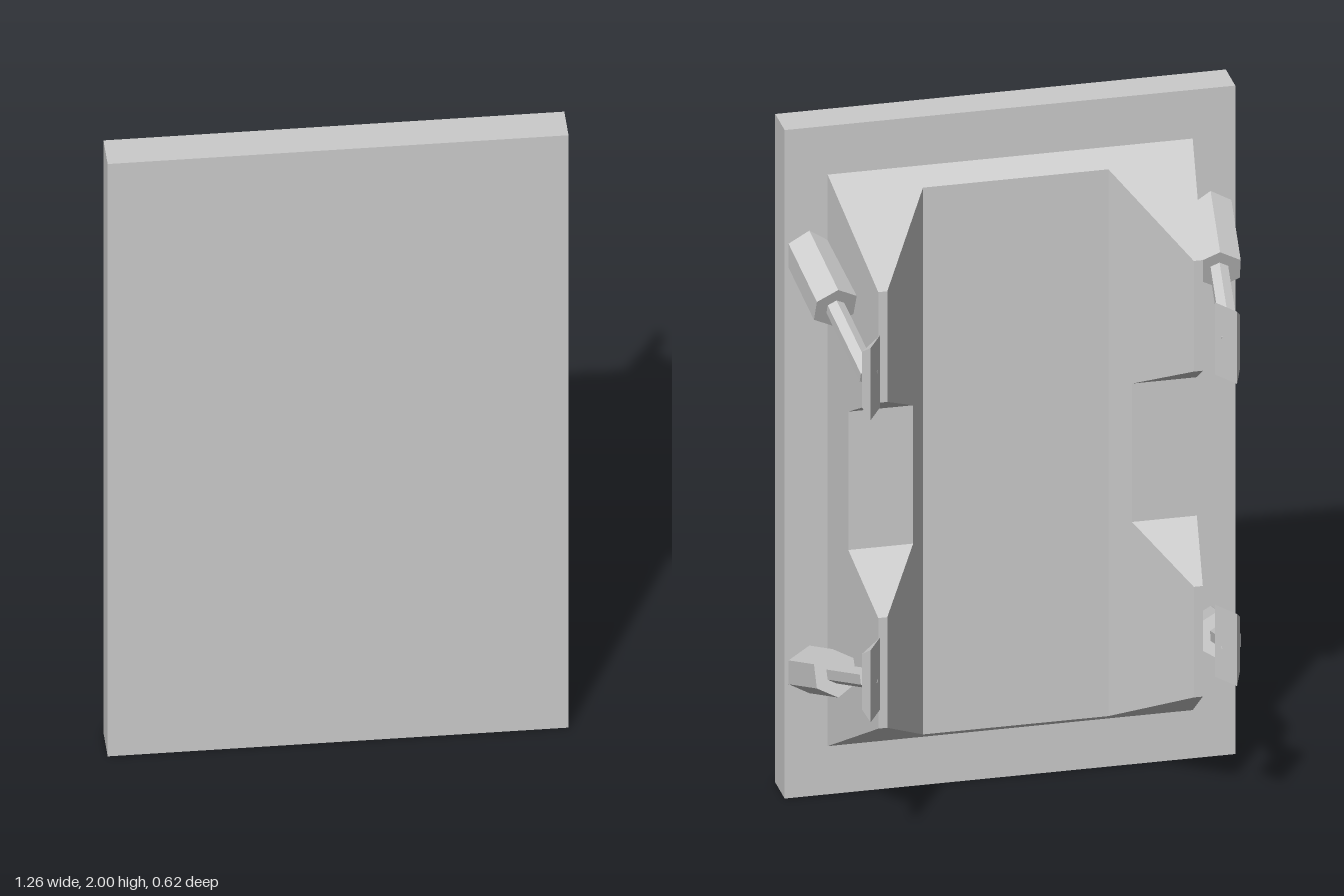
import * as THREE from 'three';
import { ConvexGeometry } from 'three/addons/geometries/ConvexGeometry.js';

const material = new THREE.MeshStandardMaterial({ color: 0xcccccc, flatShading: true });

function add(parent, name, geometry) {
  const mesh = new THREE.Mesh(geometry, material);
  mesh.name = name;
  parent.add(mesh);
  return mesh;
}

// Two-ridged housing: one cross-section per height, cut off at depth z
function housingGeometry() {
  const lower = [[0.145, 0.2], [0.182, 0.135], [0.347, -0.155], [0.678, -0.155], [0.793, 0.055]];
  const levels = [...lower, ...lower.map(([y, z]) => [2 - y, z]).reverse()];
  const rings = levels.map(([y, z]) => {
    const outer = 0.512 - (0.2 - z) * 0.16;
    const inner = 0.26 + Math.max(0, 0.135 - z) * 0.586;
    const half = [[0.512, 0.2], [outer, z], [inner, z], [0.26, Math.max(z, 0.135)]];
    const mirrored = half.map(([x, d]) => [-x, d]).reverse();
    return [...half, ...mirrored].map(([x, d]) => new THREE.Vector3(x, y, d));
  });
  const points = [];
  const triangle = (a, b, c) => {
    if (new THREE.Triangle(a, b, c).getArea() > 1e-7) points.push(a, b, c);
  };
  for (let i = 0; i < rings.length - 1; i++) {
    const low = rings[i], high = rings[i + 1];
    for (let j = 0; j < low.length; j++) {
      const k = (j + 1) % low.length;
      triangle(low[j], low[k], high[k]);
      triangle(low[j], high[k], high[j]);
    }
  }
  const geometry = new THREE.BufferGeometry().setFromPoints(points);
  geometry.computeVertexNormals();
  return geometry;
}

// Hexagonal bar between two points, with a corner on top
function hexBar(parent, name, from, to, radius) {
  const geometry = new THREE.CylinderGeometry(radius, radius, from.distanceTo(to), 6);
  geometry.rotateX(Math.PI / 2);
  const bar = add(parent, name, geometry);
  bar.position.copy(from).lerp(to, 0.5);
  bar.lookAt(to);
}

// Angled arm: thick sleeve, thin rod and bevelled clamp plate
function makeArm(name, sx, sy) {
  const arm = new THREE.Group();
  arm.name = name;
  const base = new THREE.Vector3(sx * 0.5625, 1 + sy * 0.62, 0.2);
  const tip = new THREE.Vector3(sx * 0.507, 1 + sy * 0.452, -0.258);
  const root = base.clone().lerp(tip, -0.1);
  const joint = base.clone().lerp(tip, 0.436);
  hexBar(arm, 'sleeve', root, joint, 0.067);
  hexBar(arm, 'rod', joint, tip, 0.028);

  const corners = [];
  for (const [x, z, h] of [[0.514, -0.31, 0.108], [0.47, -0.235, 0.108], [0.53, -0.275, 0.083], [0.498, -0.24, 0.083]]) {
    for (const s of [-1, 1]) corners.push(new THREE.Vector3(sx * x, tip.y + s * h, z));
  }
  add(arm, 'clampPlate', new ConvexGeometry(corners));
  return arm;
}

export function createModel() {
  const model = new THREE.Group();
  model.name = 'wallPanel';

  // Front panel
  const panel = add(model, 'panel', new THREE.BoxGeometry(1.264, 2, 0.11));
  panel.position.set(0, 1, 0.257);

  add(model, 'housing', housingGeometry());

  // Four arms, mirrored left/right and up/down
  for (const [side, sx] of [['left', 1], ['right', -1]]) {
    model.add(makeArm(side + 'UpperArm', sx, 1));
    model.add(makeArm(side + 'LowerArm', sx, -1));
  }
  return model;
}
